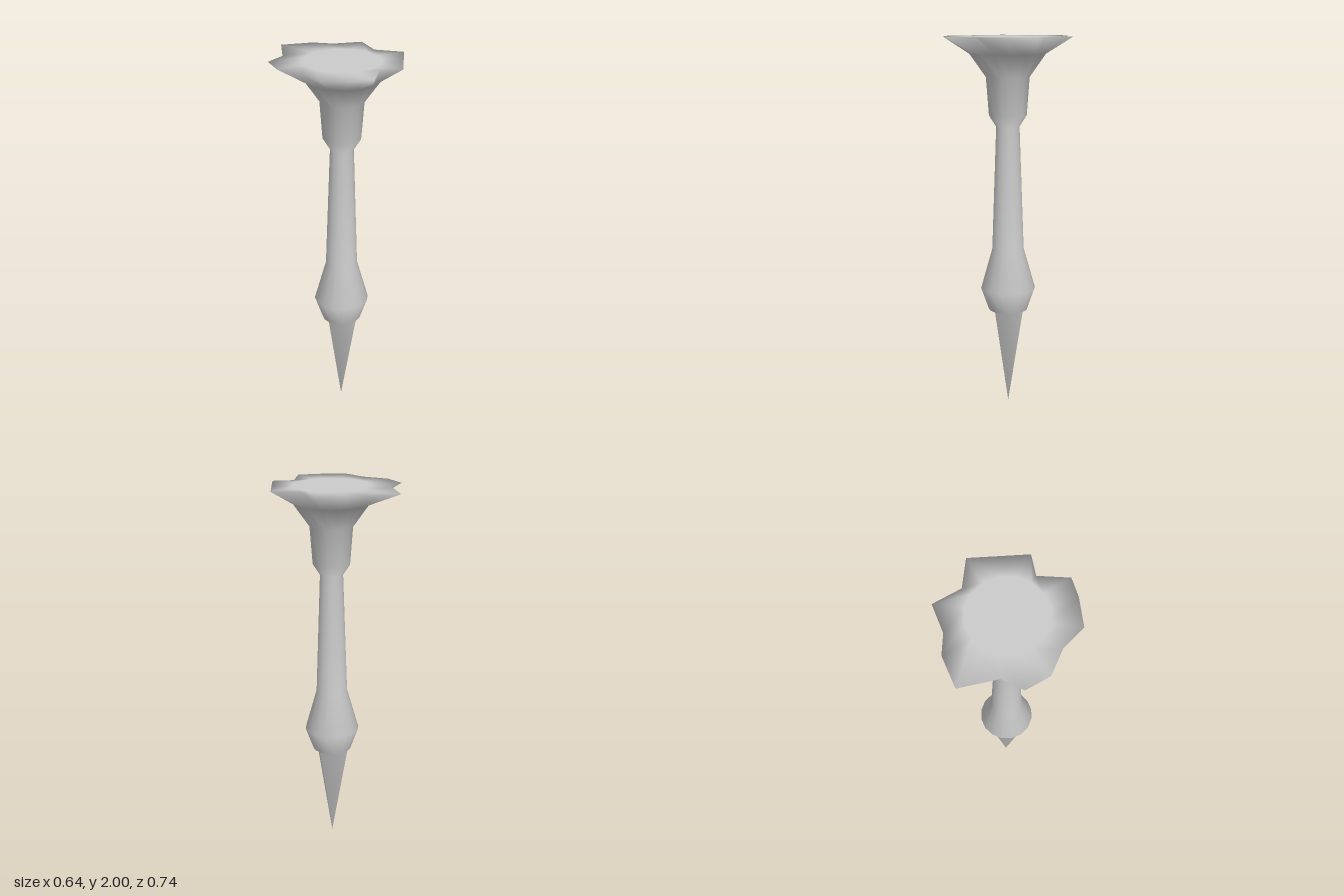
import * as THREE from 'three';

const SIDES = 16;
const AXIS_Z = 0.05;

// Ragged outline of the flared head, [x, z], counter-clockwise from the front
const RIM = [
  [0, 0.29], [0.08, 0.37], [0.2, 0.28], [0.32, 0.19],
  [0.25, 0.05], [0.32, -0.09], [0.195, -0.18], [0.14, -0.275],
  [0, -0.37], [-0.14, -0.225], [-0.26, -0.21], [-0.32, -0.09],
  [-0.295, 0.05], [-0.32, 0.19], [-0.22, 0.305], [-0.14, 0.37],
];

function ring(radius, y) {
  return Array.from({ length: SIDES }, (_, i) => {
    const a = (i / SIDES) * Math.PI * 2;
    return [radius * Math.sin(a), y, AXIS_Z + radius * Math.cos(a)];
  });
}

// Skin a stack of rings, listed from bottom to top, with shared normals
function loft(rings) {
  const index = [];
  for (let j = 0; j < rings.length - 1; j++) {
    for (let i = 0; i < SIDES; i++) {
      const a = j * SIDES + i;
      const b = j * SIDES + ((i + 1) % SIDES);
      index.push(a, b, a + SIDES, b, b + SIDES, a + SIDES);
    }
  }
  const g = new THREE.BufferGeometry();
  g.setAttribute('position', new THREE.Float32BufferAttribute(rings.flat(2), 3));
  g.setIndex(index);
  g.computeVertexNormals();
  return g;
}

export function createModel() {
  const model = new THREE.Group();
  model.name = 'spike';
  const material = new THREE.MeshStandardMaterial({ color: 0xcccccc });
  const add = (name, geometry) => {
    const mesh = new THREE.Mesh(geometry, material);
    mesh.name = name;
    model.add(mesh);
    return mesh;
  };

  // Shaft with bulge, neck, collar and flared, flat-topped head
  const profile = [
    [0.105, 0.53], [0.147, 0.65], [0.085, 0.87], [0.062, 1.53],
    [0.1, 1.59], [0.115, 1.79], [0.2, 1.91],
  ];
  add('shaftAndHead', loft([
    ...profile.map(([r, y]) => ring(r, y)),
    RIM.map(([x, z]) => [x, 2, z]),
    ring(0.2, 2),
    ring(0, 2),
  ]));

  // Underside of the bulge
  const underside = add('shaftUnderside', new THREE.CircleGeometry(0.105, SIDES));
  underside.rotation.x = Math.PI / 2;
  underside.position.set(0, 0.53, AXIS_Z);

  // Four-sided point with corners on the axes
  const tip = add('tip', new THREE.ConeGeometry(0.105, 0.53, 4, 1, true));
  tip.rotation.x = Math.PI;
  tip.position.set(0, 0.265, AXIS_Z);

  return model;
}
